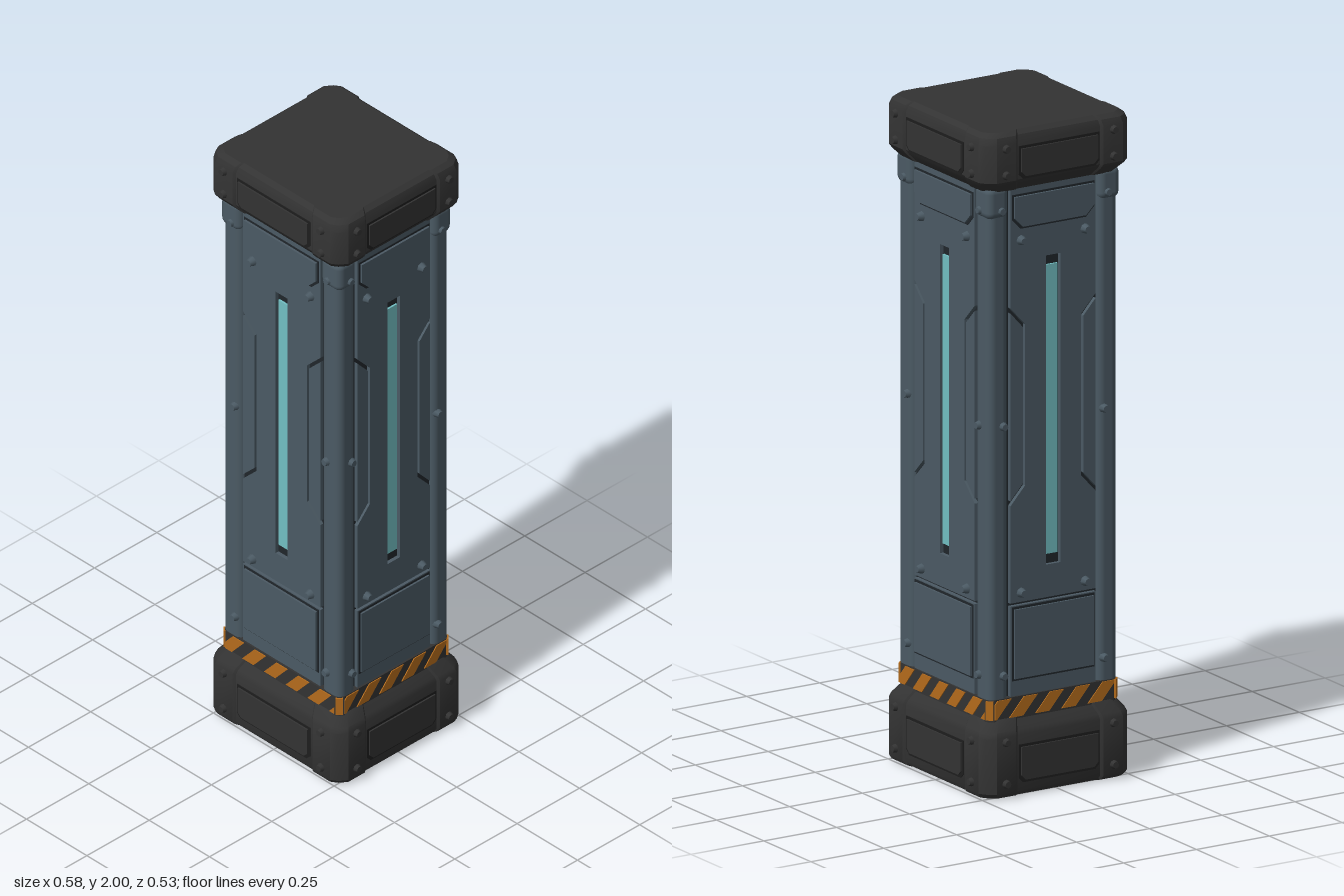
import * as THREE from 'three';
import { toCreasedNormals } from 'three/addons/utils/BufferGeometryUtils.js';
import { RoundedBoxGeometry } from 'three/addons/geometries/RoundedBoxGeometry.js';

const material = (name, color) => new THREE.MeshStandardMaterial({ name, color });
const steel = material('blue grey steel', 0x4b5a64);
const iron = material('dark iron', 0x333333);
const seam = material('seam shadow', 0x20262b);
const ironSeam = material('iron seam', 0x1e1e1e);
const glow = material('cyan light', 0x72bfc3);
const orange = material('hazard orange', 0xb56c1c);

const BX = 0.243, BZ = 0.222;   // half sizes of the shaft
const OUT = 0.033;              // overhang of the end blocks

function add(parent, name, geometry, mat, x = 0, y = 0, z = 0) {
  const mesh = new THREE.Mesh(geometry, mat);
  mesh.name = name;
  mesh.position.set(x, y, z);
  parent.add(mesh);
  return mesh;
}

// Outline of a block with chamfered corners and raised corner guards
function outline(w, d, c, hx, hz, step) {
  const q = [[hx - 0.008, d - step], [hx, d], [w - c, d], [w - c * 0.45, d - c * 0.35],
    [w, d - c], [w, hz], [w - step, hz - 0.008]];
  const mirror = (sx, sz) => q.map(([x, z]) => [x * sx, z * sz]);
  return [...mirror(1, 1), ...mirror(1, -1).reverse(), ...mirror(-1, -1), ...mirror(-1, 1).reverse()];
}

// Closed solid through copies of an outline; each ring is [y, inset]
function loft(points, w, d, rings) {
  const n = points.length, pos = [], index = [];
  for (const [y, inset] of rings)
    for (const [x, z] of points) pos.push(x * (1 - inset / w), y, z * (1 - inset / d));
  for (let r = 0; r < rings.length - 1; r++)
    for (let i = 0; i < n; i++) {
      const a = r * n + i, b = r * n + (i + 1) % n;
      index.push(a, b, b + n, a, b + n, a + n);
    }
  const last = (rings.length - 1) * n, centre = rings.length * n;
  pos.push(0, rings[0][0], 0, 0, rings[rings.length - 1][0], 0);
  for (let i = 0; i < n; i++) {
    const j = (i + 1) % n;
    index.push(centre, j, i, centre + 1, last + i, last + j);
  }
  const g = new THREE.BufferGeometry();
  g.setAttribute('position', new THREE.Float32BufferAttribute(pos, 3));
  g.setIndex(index);
  return toCreasedNormals(g, 0.5);
}

// Flat plate from a polygon in the plane of a side
function plate(parent, name, points, z, depth, mat, hole) {
  const shape = new THREE.Shape(points.map(p => new THREE.Vector2(...p)));
  if (hole) shape.holes.push(new THREE.Path(hole.map(p => new THREE.Vector2(...p))));
  return add(parent, name, new THREE.ExtrudeGeometry(shape, { depth, bevelEnabled: false }), mat, 0, 0, z);
}
const rect = (w, y0, y1) => [[-w, y0], [w, y0], [w, y1], [-w, y1]];
// Rectangle with cut lower or upper corners
const cutLow = (w, y0, y1, c) => [[-w + c, y0], [w - c, y0], [w, y0 + c], [w, y1], [-w, y1], [-w, y0 + c]];

// Cut a polygon at x = limit, keeping the side given by sign
function clip(points, limit, sign) {
  const out = [];
  points.forEach((p, i) => {
    const q = points[(i + 1) % points.length];
    const a = sign * (limit - p[0]), b = sign * (limit - q[0]);
    if (a >= 0) out.push(p);
    if (a * b < 0) out.push([limit, p[1] + (q[1] - p[1]) * a / (a - b)]);
  });
  return out;
}

const boltGeometry = new THREE.CylinderGeometry(0.01, 0.016, 0.02, 8).rotateX(Math.PI / 2);
const bolts = (parent, name, x, y, z, mat) => {
  for (const s of [-1, 1]) add(parent, name, boltGeometry, mat, s * x, y, z);
};

// Everything on one side; d is the distance of the side, w its half width
function buildSide(d, w) {
  const side = new THREE.Group();
  side.name = 'side';
  const k = w / BX, p = 0.16 * k, in1 = 0.105 * k, face = d - 0.016;

  // main panel with a waist on both edges and a slot for the light
  const right = [[p, 0.572], [p, 0.865], [in1, 0.92], [in1, 1.405], [p, 1.46], [p, 1.82]];
  const left = right.map(([x, y]) => [-x, y]).reverse();
  plate(side, 'mainPanel', [...right, ...left], face, 0.012, steel, rect(0.025, 0.67, 1.6));
  plate(side, 'lightStrip', rect(0.02, 0.7, 1.57), face, 0.006, glow);

  // side plates filling the waist
  for (const s of [-1, 1]) {
    const pts = [[p, 0.88], [in1 + 0.008, 0.927], [in1 + 0.008, 1.398], [p, 1.445]].map(([x, y]) => [x * s, y]);
    plate(side, 'waistPlate', pts, face, 0.012, steel);
  }

  // lower hatch and upper cover
  plate(side, 'lowerPanel', rect(p, 0.29, 0.563), face, 0.012, steel);
  plate(side, 'hatchSeam', rect(0.155 * k, 0.338, 0.56), face + 0.012, 0.002, seam);
  plate(side, 'hatch', rect(0.149 * k, 0.345, 0.553), face + 0.012, 0.008, steel);
  plate(side, 'coverSeam', cutLow(0.155 * k, 1.695, 1.8, 0.03), face + 0.012, 0.002, seam);
  plate(side, 'cover', cutLow(0.149 * k, 1.702, 1.794, 0.028), face + 0.012, 0.009, steel);

  // shaft bolts
  for (const y of [0.6, 1.66]) bolts(side, 'panelBolt', 0.12 * k, y, d + 0.004, steel);
  for (const y of [0.36, 1.11]) bolts(side, 'postBolt', 0.19 * k, y, d + 0.002, steel);
  bolts(side, 'collarBolt', 0.2 * k, 1.76, d + 0.004, steel);

  // hazard stripes
  const half = w - 0.018;
  for (let x = -0.335; x < half; x += 0.09) {
    let pts = [[x, 0.232], [x + 0.047, 0.232], [x + 0.097, 0.289], [x + 0.05, 0.289]];
    pts = clip(clip(pts, half, 1), -half, -1);
    if (pts.length > 2) plate(side, 'hazardStripe', pts, d + 0.002, 0.003, orange);
  }

  // end block panels and bolts
  const e = d + OUT;
  for (const [y0, y1] of [[0.04, 0.155], [1.855, 1.955]]) {
    plate(side, 'blockPanelSeam', cutLow(0.152 * k, y0, y1, 0.015), e - 0.009, 0.005, ironSeam);
    plate(side, 'blockPanel', cutLow(0.144 * k, y0 + 0.008, y1 - 0.008, 0.014), e - 0.009, 0.01, iron);
  }
  for (const y of [0.045, 0.17, 1.875, 1.955]) bolts(side, 'blockBolt', 0.202 * k, y, e + 0.002, iron);
  return side;
}

export function createModel() {
  const model = new THREE.Group();
  model.name = 'pillar';

  // dark core seen through the seams
  add(model, 'core', new THREE.BoxGeometry(2 * (BX - 0.016), 1.62, 2 * (BZ - 0.016)), seam, 0, 1.025, 0);

  // end blocks
  const w = BX + OUT, d = BZ + OUT;
  const plan = outline(w, d, 0.038, 0.165, 0.15, 0.006);
  add(model, 'baseBlock', loft(plan, w, d,
    [[0, 0.018], [0.006, 0.006], [0.018, 0], [0.185, 0], [0.2, 0.006], [0.232, 0.03]]), iron);
  add(model, 'capBlock', loft(plan, w, d,
    [[1.818, 0.03], [1.842, 0.008], [1.855, 0], [1.968, 0], [1.988, 0.007], [2, 0.022]]), iron);

  // hazard band
  const bw = BX + 0.002, bd = BZ + 0.002;
  add(model, 'hazardBand', loft(outline(bw, bd, 0.02, 0.165, 0.15, 0), bw, bd,
    [[0.225, 0], [0.292, 0]]), iron);

  // corner posts, top collars and orange band corners
  for (const sx of [-1, 1]) for (const sz of [-1, 1]) {
    add(model, 'cornerPost', new RoundedBoxGeometry(0.078, 1.6, 0.07, 3, 0.024), steel,
      sx * (BX - 0.039), 1.04, sz * (BZ - 0.035));
    add(model, 'cornerCollar', new RoundedBoxGeometry(0.082, 0.1, 0.074, 3, 0.022), steel,
      sx * (BX - 0.035), 1.785, sz * (BZ - 0.031));
    const corner = add(model, 'hazardCorner', new THREE.BoxGeometry(0.022, 0.057, 0.006), orange,
      sx * (bw - 0.0075), 0.2605, sz * (bd - 0.0075));
    corner.rotation.y = Math.atan2(sx, sz);
  }

  // four sides
  ['front', 'left', 'back', 'right'].forEach((name, i) => {
    const side = i % 2 ? buildSide(BX, BZ) : buildSide(BZ, BX);
    side.name = name + 'Side';
    side.rotation.y = i * Math.PI / 2;
    model.add(side);
  });
  return model;
}
